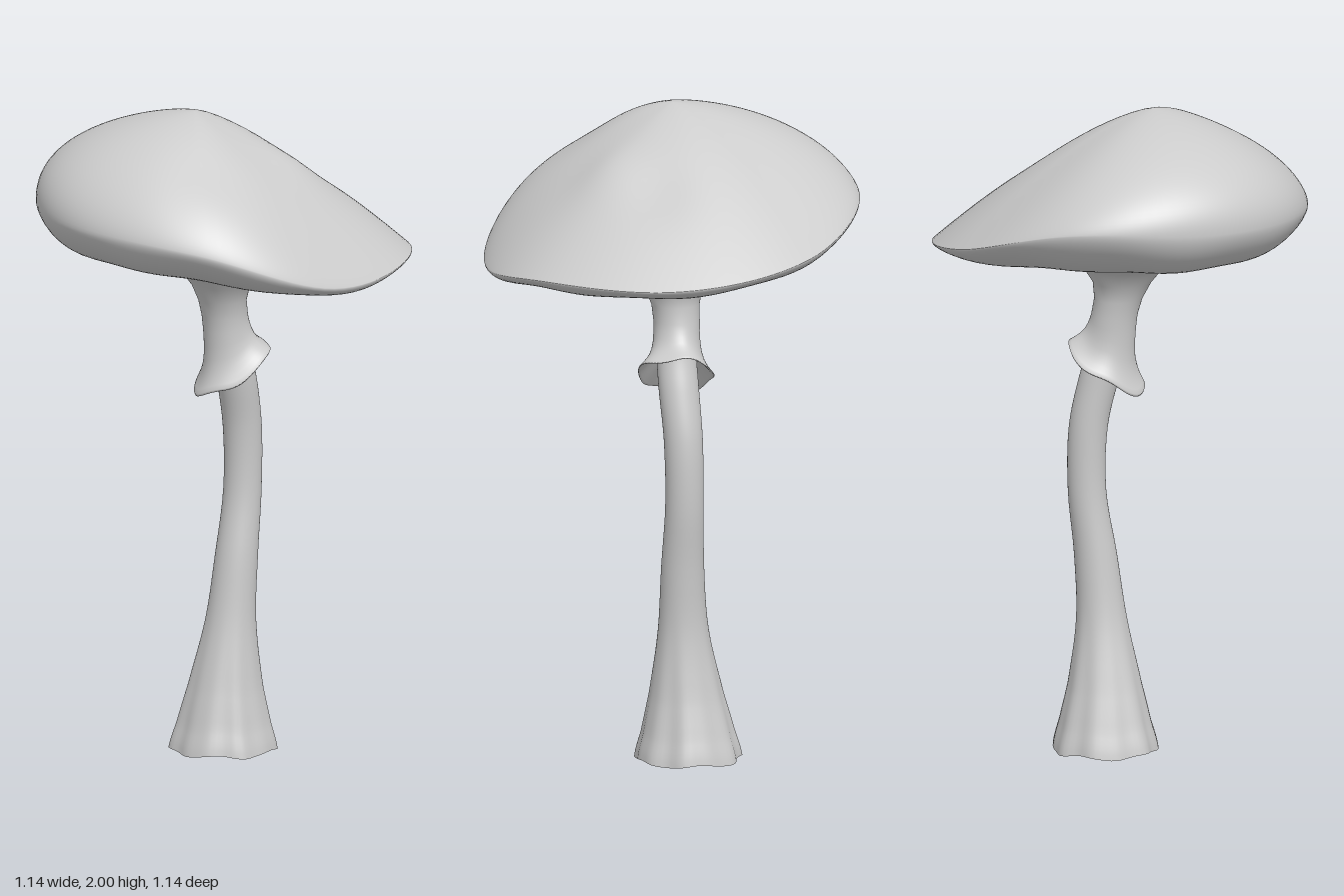
import * as THREE from 'three';

const TAU = Math.PI * 2;
const lerp = THREE.MathUtils.lerp;

// Closed loop of values spread evenly around the circle, smoothly interpolated
function around(values, a) {
  const n = values.length;
  const f = a / TAU * n;
  const i = Math.floor(f), t = f - i;
  const v = k => values[(i + k + n) % n];
  const p0 = v(-1), p1 = v(0), p2 = v(1), p3 = v(2);
  return p1 + 0.5 * t * (p2 - p0 + t * (2 * p0 - 5 * p1 + 4 * p2 - p3 + t * (3 * (p1 - p2) + p3 - p0)));
}

// Skin over rings: point(row, angle) -> [x, y, z], rows running from top to bottom
function loft(name, rows, segments, point, material) {
  const pos = [], index = [];
  for (let i = 0; i < rows; i++)
    for (let j = 0; j < segments; j++) pos.push(...point(i, j / segments * TAU));
  for (let i = 0; i < rows - 1; i++)
    for (let j = 0; j < segments; j++) {
      const k = (j + 1) % segments;
      const a = i * segments + j, b = i * segments + k;
      const c = a + segments, d = b + segments;
      index.push(a, b, c, b, d, c);
    }
  const geo = new THREE.BufferGeometry();
  geo.setAttribute('position', new THREE.Float32BufferAttribute(pos, 3));
  geo.setIndex(index);
  geo.computeVertexNormals();
  const mesh = new THREE.Mesh(geo, material);
  mesh.name = name;
  return mesh;
}

// Rim heights, starting at +x and turning towards +z
const RIM = [1.56, 1.535, 1.66, 1.7, 1.72, 1.73, 1.62, 1.56];
const APEX = [-0.08, 2.0, 0.07];
const RADIUS = 0.568;

function makeCap(material) {
  const topRows = 30, underRows = 24;
  return loft('cap', topRows + underRows, 96, (i, a) => {
    const isTop = i < topRows;
    const u = isTop ? i / (topRows - 1) : 1 - (i - topRows + 1) / underRows;
    const t = Math.sin(u * Math.PI / 2);
    const rest = 1 - t ** 4;
    const cos = Math.cos(a), sin = Math.sin(a);
    const bulge = Math.max(0, -cos) ** 1.8;
    const front = Math.max(0, sin) ** 2;
    const rim = around(RIM, a);
    const r = RADIUS * (1 + 0.005 * Math.sin(5 * a + 1) * t);
    const x = APEX[0] * (1 - t) + r * t * cos;
    const z = APEX[2] * (1 - t) + r * t * sin;
    let y;
    if (isTop) {
      // swollen towards -x and the front, tapering to a thin edge at +x
      const p = 1.5 - 0.2 * Math.max(0, cos);
      const q = 1 - 0.55 * bulge - 0.3 * front;
      y = rim + (APEX[1] - rim) * Math.max(0, 1 - t ** p) ** q;
      const dent = (cx, cz, s) => Math.exp(-((x - cx) ** 2 + (z - cz) ** 2) / (s * s));
      y += rest * (0.015 * dent(0.23, 0.06, 0.09) - 0.015 * dent(0.22, -0.14, 0.1)
        - 0.02 * dent(0.02, 0.36, 0.13));
    } else {
      // soft tilted underside with a rolled, slightly wavy lip
      const lip = 0.045 + 0.065 * bulge + 0.02 * front;
      const wave = 0.007 * Math.sin(9 * a) * t;
      y = lerp(1.555 - 0.05 * t * cos, rim, t ** 4) - (lip - wave) * t * t * Math.sqrt(Math.max(0, rest));
    }
    return [x, y, z];
  }, material);
}

function makeStem(material) {
  // [y, centre x, centre z, radius]
  const keys = [
    [1.35, 0.005, -0.025, 0.058], [1.25, 0.015, -0.035, 0.06], [1.15, 0.03, -0.058, 0.061],
    [1.0, 0.043, -0.088, 0.059], [0.8, 0.043, -0.093, 0.058], [0.6, 0.028, -0.072, 0.065],
    [0.4, 0.012, -0.06, 0.077], [0.2, -0.003, -0.058, 0.112], [0.08, -0.008, -0.06, 0.14],
    [0, -0.01, -0.06, 0.16]];
  const centre = new THREE.CatmullRomCurve3(keys.map(k => new THREE.Vector3(k[1], k[0], k[2])));
  const radius = new THREE.SplineCurve(keys.map(k => new THREE.Vector2(k[3], k[0])));
  const rows = 46;
  return loft('stem', rows, 64, (i, a) => {
    const t = i / (rows - 1);
    const c = centre.getPoint(t), r0 = radius.getPoint(t).x;
    const flare = Math.max(0, 1 - c.y / 0.5) ** 1.3;
    // root flutes that fade out up the stem
    const flute = 0.03 * Math.sin(7 * a + 0.6) + 0.02 * Math.sin(11 * a + 2);
    const r = r0 * (1 + flare * flute);
    const lift = flare * 0.005 * (1 + Math.sin(5 * a));
    return [c.x + r * Math.cos(a), c.y + lift, c.z + r * Math.sin(a)];
  }, material);
}

function makeCollar(material) {
  // Flare under the cap narrowing to a neck: [y, centre x, centre z, radius]
  const neck = [
    [1.6, -0.005, 0.005, 0.33], [1.56, -0.005, 0.005, 0.235], [1.533, -0.006, 0.005, 0.172],
    [1.5, -0.008, 0.005, 0.125], [1.45, -0.008, 0, 0.089], [1.4, -0.006, -0.012, 0.073],
    [1.35, 0, -0.022, 0.07]];
  // Tilted skirt: [share of the way from hem up to neck, radius], ending tucked up inside
  const skirt = [[0.8, 0.07], [0.6, 0.072], [0.42, 0.077], [0.28, 0.085], [0.16, 0.096],
    [0.07, 0.107], [0.01, 0.115], [-0.02, 0.113], [0.01, 0.106], [0.13, 0.086], [0.3, 0.055]];
  return loft('collar', neck.length + skirt.length, 64, (i, a) => {
    if (i < neck.length) {
      const [y, cx, cz, r] = neck[i];
      return [cx + r * Math.cos(a), y, cz + r * Math.sin(a)];
    }
    const [h, r0] = skirt[i - neck.length];
    const low = 1 - h;
    const r = r0 * (1 + 0.04 * low ** 3 * Math.sin(3 * a + 0.5));
    const hem = 1.188 - 0.072 * Math.cos(a - Math.PI * 0.78) + 0.008 * Math.sin(4 * a);
    return [0.02 * low + r * Math.cos(a), lerp(hem, 1.35, h), -0.022 - 0.018 * low + r * Math.sin(a)];
  }, material);
}

export function createModel() {
  const material = new THREE.MeshStandardMaterial({ color: 0xcccccc, side: THREE.DoubleSide });
  const model = new THREE.Group();
  model.name = 'mushroom';
  model.add(makeCap(material), makeCollar(material), makeStem(material));
  return model;
}
